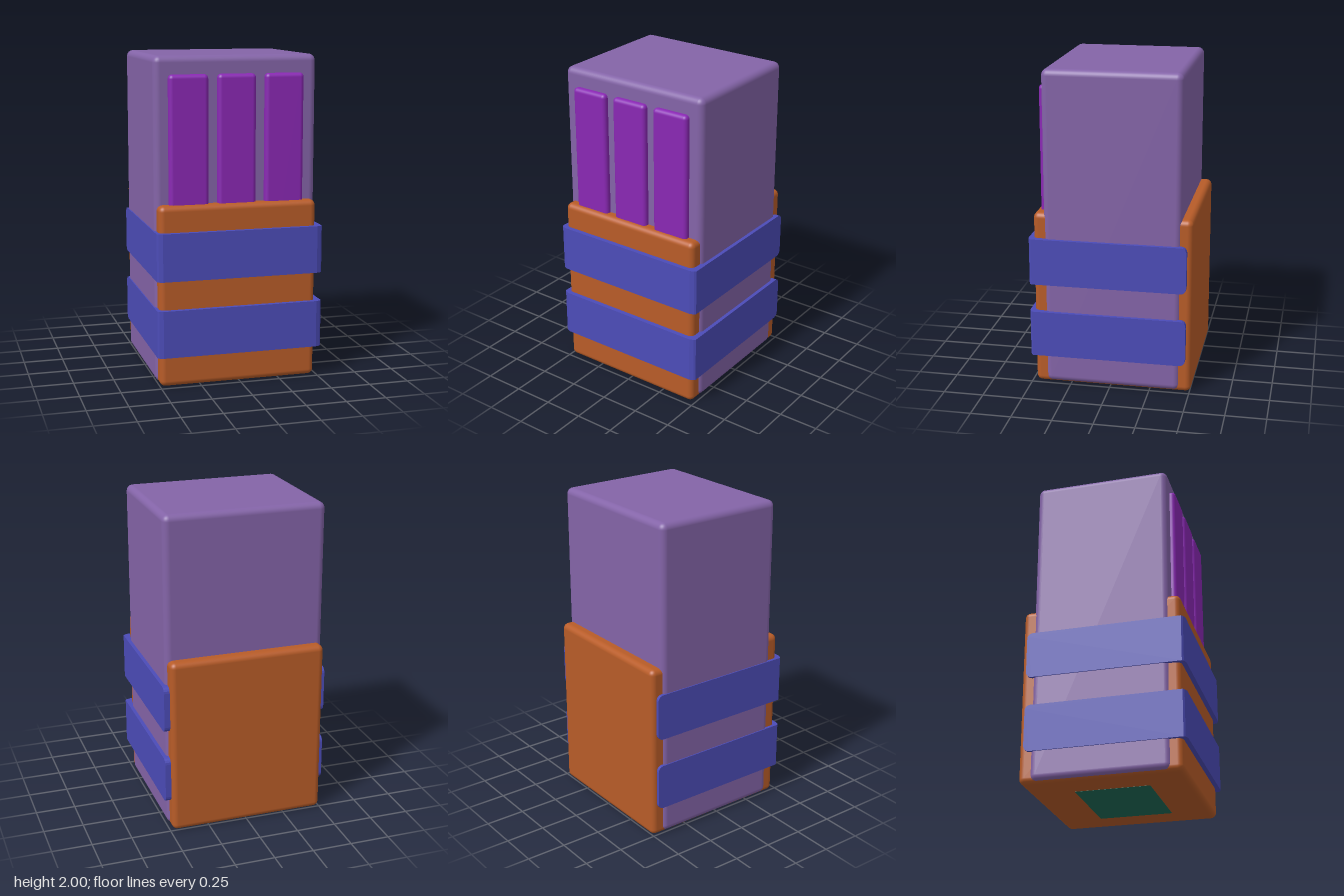
import * as THREE from 'three';
import { RoundedBoxGeometry } from 'three/addons/geometries/RoundedBoxGeometry.js';
import { ConvexGeometry } from 'three/addons/geometries/ConvexGeometry.js';

const paint = (color) => new THREE.MeshStandardMaterial({ color });

// Rounded block given by its limits on each axis
function block(name, [x0, x1], [y0, y1], [z0, z1], radius, material) {
  const geo = new RoundedBoxGeometry(x1 - x0, y1 - y0, z1 - z0, 4, radius);
  const mesh = new THREE.Mesh(geo, material);
  mesh.position.set((x0 + x1) / 2, (y0 + y1) / 2, (z0 + z1) / 2);
  mesh.name = name;
  return mesh;
}

// Strap: bevelled upright corners at the front, rounded ends at the back
function strap(name, y0, y1, material) {
  const pts = [], r = 0.035, back = -0.475;
  for (const side of [-1, 1]) {
    for (const y of [y0, y1]) {
      for (const [x, z] of [[0.52, 0.485], [0.51, 0.495], [0.485, 0.505]]) {
        pts.push(new THREE.Vector3(side * x, y, z));
      }
      const dir = y === y0 ? 1 : -1;
      for (let i = 0; i <= 4; i++) {
        const a = (i / 4) * Math.PI / 2;
        pts.push(new THREE.Vector3(side * 0.52, y + dir * r * (1 - Math.cos(a)), back + r * (1 - Math.sin(a))));
      }
    }
  }
  const mesh = new THREE.Mesh(new ConvexGeometry(pts), material);
  mesh.name = name;
  return mesh;
}

export function createModel() {
  const model = new THREE.Group();
  model.name = 'strappedBlock';
  const lavender = paint(0x8464a8), orange = paint(0xb85c28);
  const blue = paint(0x4c4cb8), violet = paint(0x8a28b4), teal = paint(0x1f6b58);

  // Tall body and the lower casing showing at its front, back and underside
  model.add(block('body', [-0.513, 0.497], [0.008, 2], [-0.44, 0.41], 0.04, lavender));
  model.add(block('casing', [-0.5, 0.484], [0, 1.115], [-0.508, 0.476], 0.035, orange));

  // Three upright bars on the front
  [[-0.428, -0.185], [-0.128, 0.11], [0.167, 0.41]].forEach((x, i) => {
    model.add(block('frontBar' + (i + 1), x, [0.5, 1.89], [0.3, 0.445], 0.025, violet));
  });

  // Two straps
  model.add(strap('lowerStrap', 0.19, 0.482, blue));
  model.add(strap('upperStrap', 0.662, 0.955, blue));

  // Inset panel on the underside
  const panel = new THREE.Mesh(new THREE.BoxGeometry(0.56, 0.02, 0.46), teal);
  panel.position.set(0, 0.009, 0);
  panel.name = 'basePanel';
  model.add(panel);
  return model;
}
